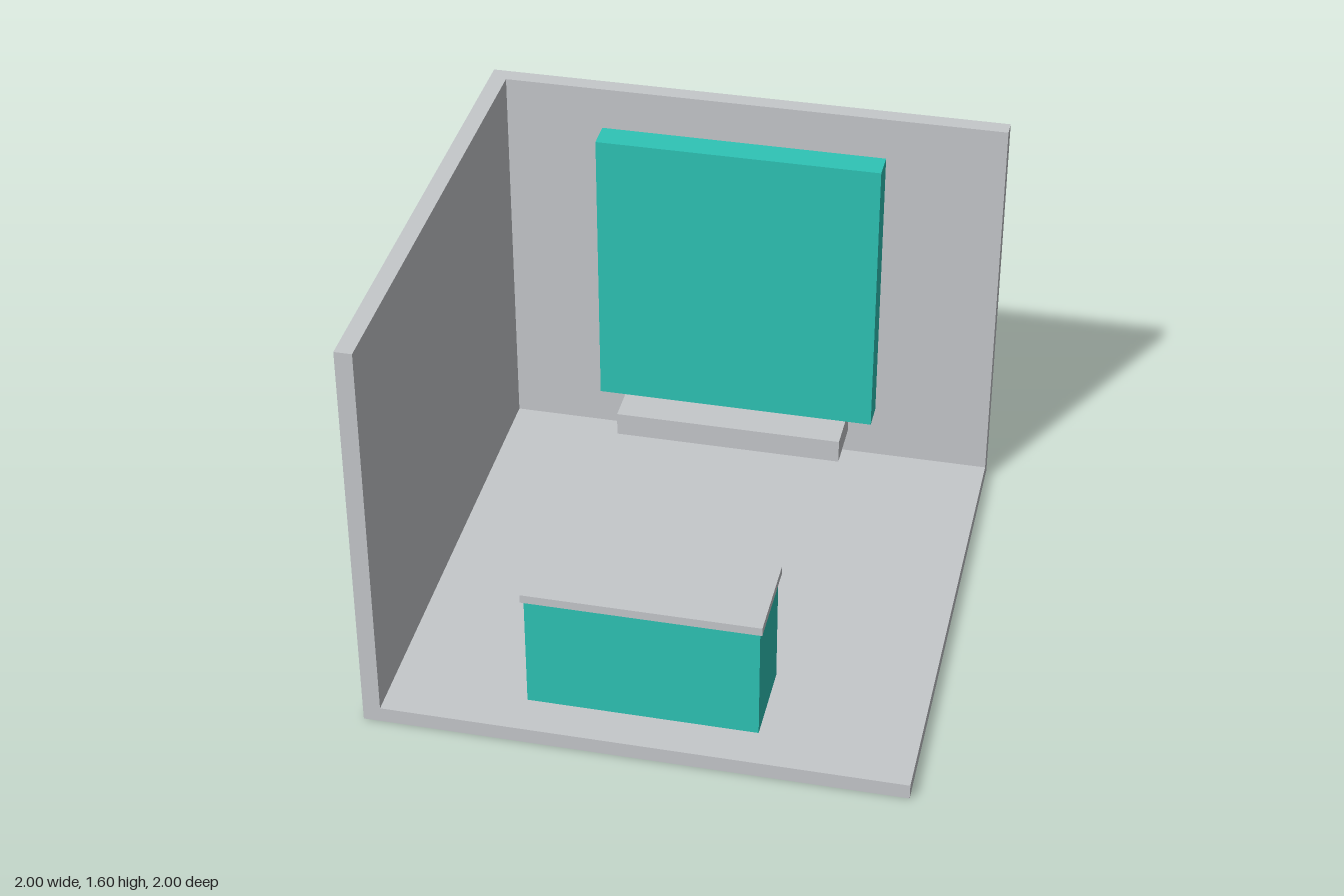
import * as THREE from 'three';

export function createModel() {
  const model = new THREE.Group();
  model.name = 'exhibitionBooth';

  const grey = new THREE.MeshStandardMaterial({ color: 0xc5c8cb });
  grey.name = 'light grey';
  const teal = new THREE.MeshStandardMaterial({ color: 0x2ec4b6 });
  teal.name = 'teal';

  // Box given by its extents along each axis
  const block = (name, material, [x0, x1], [y0, y1], [z0, z1]) => {
    const mesh = new THREE.Mesh(new THREE.BoxGeometry(x1 - x0, y1 - y0, z1 - z0), material);
    mesh.position.set((x0 + x1) / 2, (y0 + y1) / 2, (z0 + z1) / 2);
    mesh.name = name;
    model.add(mesh);
  };

  // Shell: floor and two walls meeting at the back corner
  const wall = 0.065;
  block('floor', grey, [-1 + wall, 1], [0, 0.06], [-1 + wall, 1]);
  block('backWall', grey, [-1 + wall, 1], [0, 1.6], [-1, -1 + wall]);
  block('sideWall', grey, [-1, -1 + wall], [0, 1.6], [-1, 1]);

  // Display panel with the shelf under it
  block('displayPanel', teal, [-0.55, 0.55], [0.3, 1.45], [-0.905, -0.793]);
  block('shelf', grey, [-0.448, 0.448], [0.205, 0.3], [-0.87, -0.65]);

  // Counter, sunk into the floor, and its top
  block('counterBody', teal, [-0.427, 0.427], [0.002, 0.52], [0.51, 0.84]);
  block('counterTop', grey, [-0.437, 0.437], [0.52, 0.553], [0.495, 0.855]);

  return model;
}
